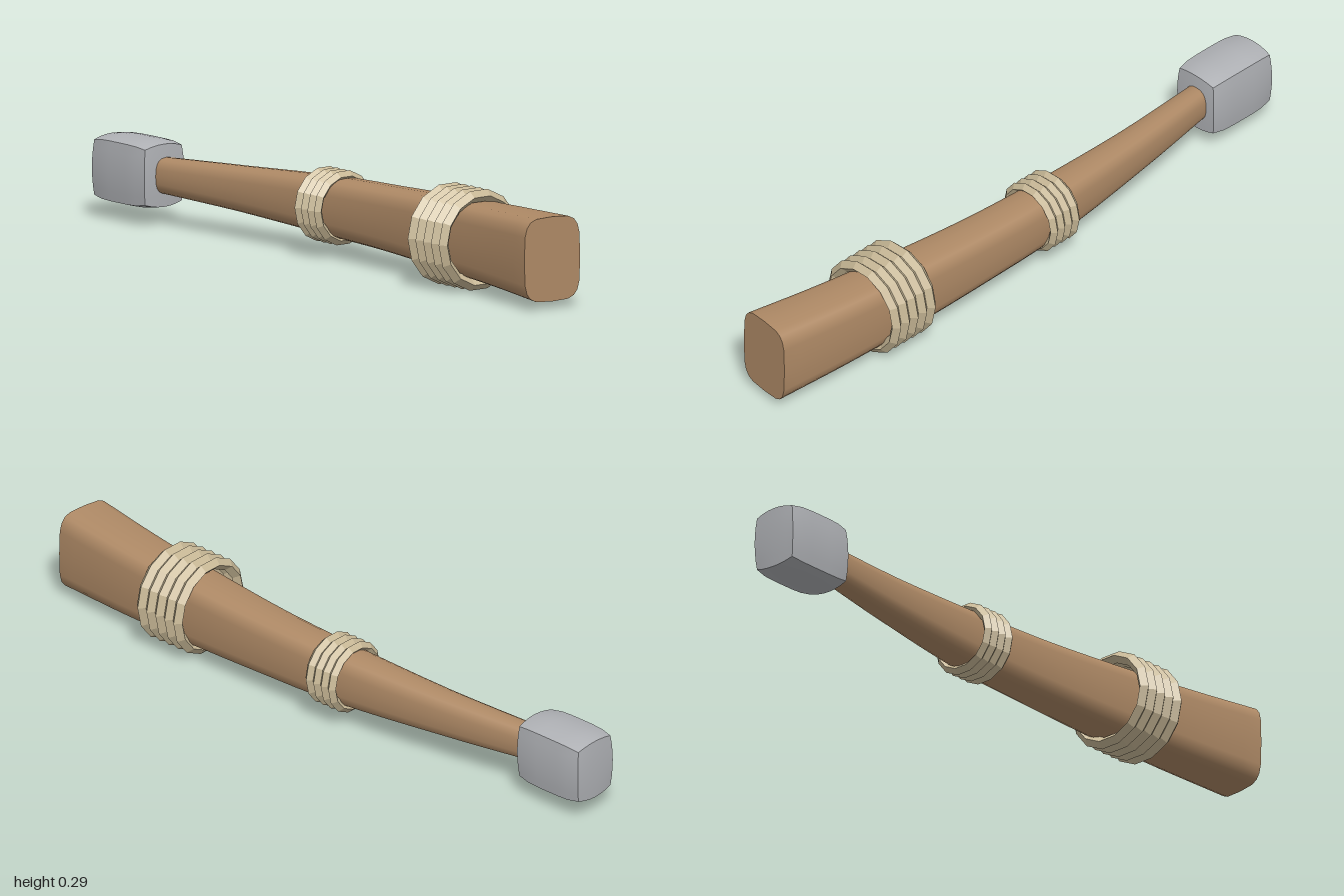
import * as THREE from 'three';

const MID_Y = 0.148;
const wood = new THREE.MeshStandardMaterial({ color: 0xaf8a66 });
const rope = new THREE.MeshStandardMaterial({ color: 0xc8b896 });
const metal = new THREE.MeshStandardMaterial({ color: 0xb0b2b6 });
wood.name = 'wood';
rope.name = 'rope';
metal.name = 'metal';

// Curved, tapering handle: rounded-square sections swept along a bent spine.
function handleGeometry() {
  // x, centre z, half height, half depth, squareness
  const stations = [
    [-0.8, 0.035, 0.051, 0.038, 2.6],
    [-0.45, -0.007, 0.066, 0.051, 2.8],
    [-0.07, -0.033, 0.085, 0.066, 3.1],
    [0.2, -0.032, 0.093, 0.072, 3.4],
    [0.5, -0.017, 0.105, 0.081, 3.7],
    [0.75, 0.004, 0.114, 0.088, 4],
    [0.992, 0.034, 0.124, 0.095, 4.2],
  ];
  const spine = new THREE.CatmullRomCurve3(stations.map(s => new THREE.Vector3(s[0], MID_Y, s[1])));
  const size = new THREE.CatmullRomCurve3(stations.map(s => new THREE.Vector3(s[2], s[3], s[4])));
  const rows = 24, sides = 20;
  const positions = [], indices = [];
  const power = (v, n) => Math.sign(v) * Math.abs(v) ** (2 / n);
  for (let i = 0; i <= rows; i++) {
    const c = spine.getPoint(i / rows), s = size.getPoint(i / rows);
    const t = spine.getTangent(i / rows);
    for (let j = 0; j < sides; j++) {
      const a = (j / sides) * Math.PI * 2;
      const across = s.y * power(Math.cos(a), s.z);
      positions.push(c.x - t.z * across, c.y + s.x * power(Math.sin(a), s.z), c.z + t.x * across);
      if (i < rows) {
        const p = i * sides + j, q = i * sides + (j + 1) % sides;
        indices.push(p, p + sides, q, q, p + sides, q + sides);
      }
    }
  }
  // Flat butt and hidden inner end, each with its own vertices
  for (const [row, u] of [[0, 0], [rows, 1]]) {
    const start = positions.length / 3;
    for (let k = 0; k < sides * 3; k++) positions.push(positions[row * sides * 3 + k]);
    const c = spine.getPoint(u), centre = start + sides;
    positions.push(c.x, c.y, c.z);
    for (let j = 0; j < sides; j++) {
      const p = start + j, q = start + (j + 1) % sides;
      indices.push(centre, u ? q : p, u ? p : q);
    }
  }
  const g = new THREE.BufferGeometry();
  g.setAttribute('position', new THREE.Float32BufferAttribute(positions, 3));
  g.setIndex(indices);
  g.computeVertexNormals();
  return g;
}

// Block whose faces swell gently towards their middles, with crisp edges.
function headGeometry() {
  const g = new THREE.BoxGeometry(2, 2, 2, 6, 6, 6);
  const p = g.attributes.position;
  for (let i = 0; i < p.count; i++) {
    const u = p.getX(i), v = p.getY(i), w = p.getZ(i);
    p.setXYZ(i,
      u * 0.122 * (1 - 0.03 * (v * v + w * w)),
      v * 0.1 * (1 - 0.08 * u ** 4) * (1 - 0.12 * w * w),
      w * 0.081 * (1 - 0.08 * u ** 4) * (1 - 0.08 * v * v));
  }
  g.computeVertexNormals();
  return g;
}

// Row of faceted rope rings with a diamond cross-section.
function binding(name, count, x, z, spacing, outer, tube) {
  const group = new THREE.Group();
  group.name = name;
  const g = new THREE.TorusGeometry(outer - tube, tube, 4, 14).toNonIndexed();
  g.computeVertexNormals();
  g.rotateY(Math.PI / 2);
  for (let i = 0; i < count; i++) {
    const ring = new THREE.Mesh(g, rope);
    ring.name = 'ropeRing';
    ring.position.set(x + (i - (count - 1) / 2) * spacing, MID_Y, z);
    group.add(ring);
  }
  return group;
}

export function createModel() {
  const model = new THREE.Group();
  model.name = 'wrappedClub';

  const handle = new THREE.Mesh(handleGeometry(), wood);
  handle.name = 'handle';

  const head = new THREE.Mesh(headGeometry(), metal);
  head.name = 'metalHead';
  head.position.set(-0.878, MID_Y, 0.035);

  model.add(
    handle,
    head,
    binding('smallBinding', 4, -0.072, -0.029, 0.029, 0.11, 0.015),
    binding('largeBinding', 5, 0.548, 0, 0.035, 0.149, 0.018),
  );
  return model;
}
